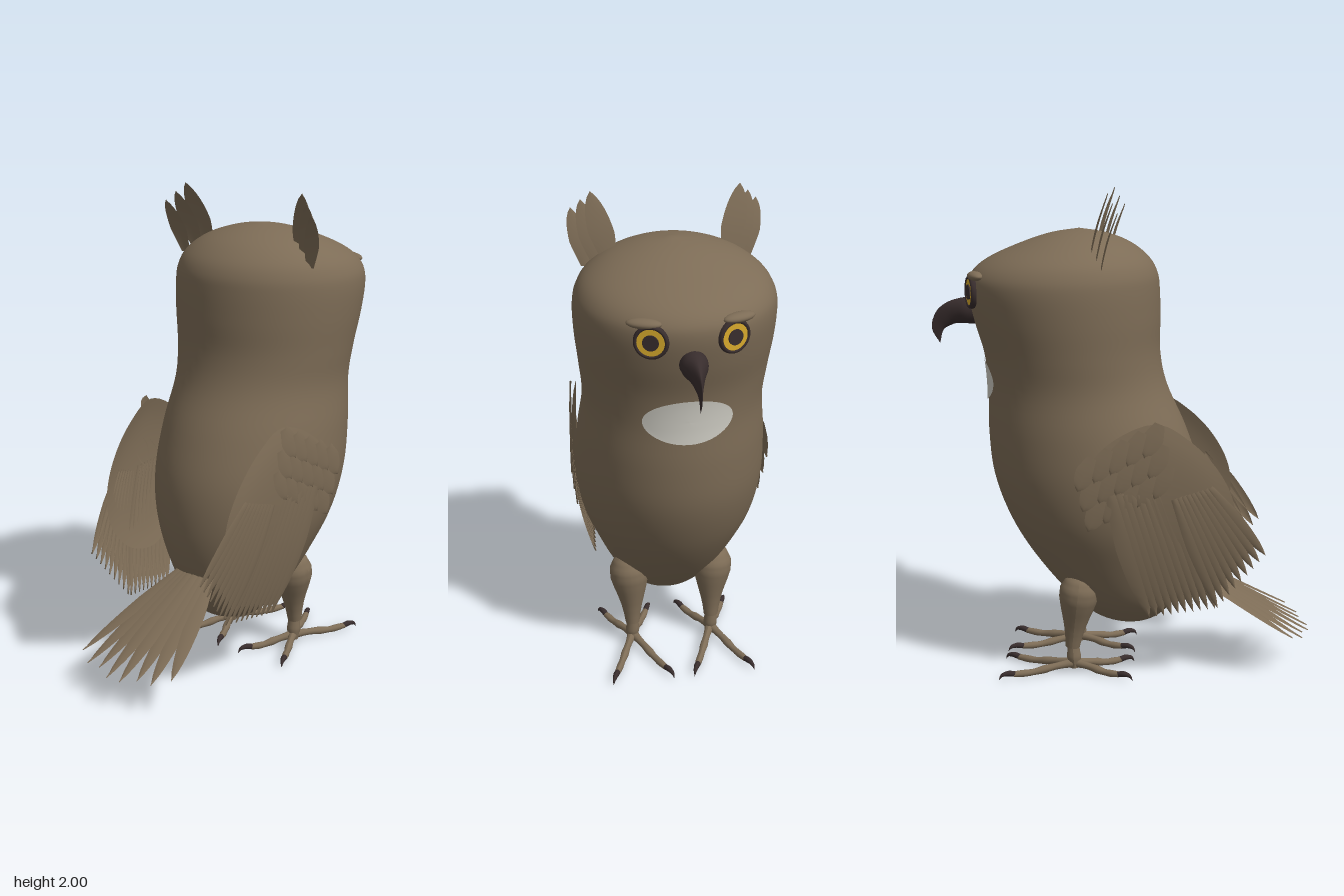
import * as THREE from 'three';
import { mergeVertices } from 'three/addons/utils/BufferGeometryUtils.js';

const V = (x, y, z = 0) => new THREE.Vector3(x, y, z);
const mat = (name, color, side = THREE.FrontSide) => {
  const m = new THREE.MeshStandardMaterial({ color, side });
  m.name = name;
  return m;
};

// Body rows: y, back x, front x, half width in z
const ROWS = [
  [0.178, -0.04, -0.04, 0], [0.198, -0.13, 0.07, 0.1], [0.24, -0.19, 0.155, 0.155], [0.33, -0.25, 0.25, 0.225],
  [0.49, -0.31, 0.38, 0.3], [0.65, -0.335, 0.475, 0.36], [0.83, -0.325, 0.54, 0.385], [1.02, -0.265, 0.56, 0.38],
  [1.2, -0.185, 0.56, 0.362], [1.34, -0.155, 0.575, 0.375], [1.48, -0.155, 0.615, 0.392], [1.6, -0.152, 0.638, 0.398],
  [1.67, -0.142, 0.622, 0.385], [1.73, -0.107, 0.55, 0.342], [1.788, -0.035, 0.42, 0.25], [1.828, 0.065, 0.3, 0.13],
  [1.848, 0.18, 0.18, 0],
];
const spanCurve = new THREE.CatmullRomCurve3(ROWS.map(r => V(r[1], r[0], r[2])), false, 'catmullrom');
const widthCurve = new THREE.CatmullRomCurve3(ROWS.map(r => V(r[3], r[0])), false, 'catmullrom');
function bodyRow(t) {
  const s = spanCurve.getPoint(t), w = widthCurve.getPoint(t);
  return { y: s.y, cx: (s.x + s.z) / 2, hx: Math.max(0, (s.z - s.x) / 2), hz: Math.max(0, w.x) };
}
// Front surface x of the body at a height and side position
function bodyFront(y, z) {
  let a = 0, b = 1;
  for (let i = 0; i < 30; i++) {
    const m = (a + b) / 2;
    if (spanCurve.getPoint(m).y < y) a = m; else b = m;
  }
  const r = bodyRow(a);
  return r.cx + r.hx * Math.sqrt(Math.max(0, 1 - (z / r.hz) ** 2));
}

// Moves every vertex of a geometry by a rule
function reshape(geo, rule) {
  const p = geo.attributes.position, uv = geo.attributes.uv;
  for (let i = 0; i < p.count; i++) {
    const q = rule(V(p.getX(i), p.getY(i), p.getZ(i)), uv.getX(i), uv.getY(i));
    p.setXYZ(i, q.x, q.y, q.z);
  }
  geo.computeVertexNormals();
  return geo;
}

// Pointed feather blade with a raised midrib and an optional bow
function feather(base, tip, side, width, ridge, bow = 0) {
  const dir = tip.clone().sub(base);
  const normal = side.clone().cross(dir).normalize();
  return reshape(new THREE.PlaneGeometry(1, 1, 2, 12), v => {
    const t = v.y + 0.5, u = v.x * 2;
    const w = width / 2 * Math.pow(Math.max(0, 1 - t ** 4), 0.85) * (0.5 + 0.5 * Math.min(1, t * 2.5));
    return base.clone().addScaledVector(dir, t).addScaledVector(side, u * w)
      .addScaledVector(normal, ridge * (1 - Math.abs(u)) + bow * Math.sin(Math.PI * t));
  });
}

// Tube along a path whose radius follows a list of values
function taper(points, radii, segs = 16, sides = 12) {
  const curve = new THREE.CatmullRomCurve3(points);
  return reshape(new THREE.TubeGeometry(curve, segs, 1, sides), (v, u) => {
    const c = curve.getPointAt(u), f = u * (radii.length - 1), i = Math.min(radii.length - 2, Math.floor(f));
    return c.clone().add(v.sub(c).multiplyScalar(THREE.MathUtils.lerp(radii[i], radii[i + 1], f - i)));
  });
}

// Depth of the gently curved wing surface
function wingZ(x, y) {
  const t = (y - 0.28) / 0.67;
  return 0.389 + 0.11 * (x - 0.18) + 0.14 * (y - 0.9) + 0.1 * t * (1 - t);
}

export function createModel() {
  const owl = new THREE.Group();
  owl.name = 'owl';
  const plumage = mat('brownPlumage', 0x7d6c56);
  const blade = mat('brownFeather', 0x7d6c56, THREE.DoubleSide);
  const horn = mat('darkHorn', 0x382d2d);
  const pale = mat('paleThroat', 0xcfcdc4);
  const yellow = mat('yellowIris', 0xd8aa2c);
  const add = (parent, name, geo, m) => {
    const mesh = new THREE.Mesh(geo, m);
    mesh.name = name;
    parent.add(mesh);
    return mesh;
  };
  const group = (parent, name) => {
    const g = new THREE.Group();
    g.name = name;
    parent.add(g);
    return g;
  };

  // Body and head in one smooth skin
  let skin = reshape(new THREE.SphereGeometry(1, 56, 80), (v, u, t) => {
    const r = bodyRow(t), a = u * Math.PI * 2;
    return V(r.cx - r.hx * Math.cos(a), r.y, r.hz * Math.sin(a));
  });
  skin.deleteAttribute('uv');
  skin.deleteAttribute('normal');
  skin = mergeVertices(skin, 1e-5);
  skin.computeVertexNormals();
  add(owl, 'body', skin, plumage);

  // Throat patch following the chest
  add(owl, 'throatPatch', reshape(new THREE.RingGeometry(0, 1, 48, 8), v => {
    const y = 1.235 + 0.095 * v.y, z = -0.177 * v.x;
    return V(bodyFront(y, z) + 0.005, y, z);
  }), pale);

  // Hooked beak, narrowing to a point when seen from above
  add(owl, 'beak', reshape(taper(
    [V(0.58, 1.505), V(0.66, 1.507), V(0.725, 1.49), V(0.768, 1.44), V(0.762, 1.37)],
    [0.056, 0.056, 0.05, 0.042, 0.024, 0], 24, 20),
  v => V(v.x, v.y, v.z * Math.min(0.95, Math.max(0.08, (0.8 - v.x) / 0.15)))), horn);

  // Tail fan
  const tail = group(owl, 'tail');
  const tailX = [-0.79, -0.76, -0.755, -0.71];
  for (let i = 0; i < 8; i++) {
    const s = i - 3.5, k = Math.abs(s) - 0.5, lift = 0.004 * (3 - k);
    const base = V(-0.24, 0.45 + lift, s * 0.02);
    const tip = V(tailX[k], 0.45 + (tailX[k] + 0.24) * 0.575 + lift, s * 0.067);
    add(tail, 'tailFeather', feather(base, tip, V(-s * 0.08, 0, -1).normalize(), 0.075, 0.005), blade);
  }

  // Paired parts: built for +z, mirrored for -z
  for (const sign of [1, -1]) {
    const half = group(owl, sign > 0 ? 'rightHalf' : 'leftHalf');
    half.scale.z = sign;

    // Eye: dark raised rim, sunken yellow iris, dark pupil
    const eye = group(half, 'eye');
    eye.position.set(0.606, 1.6, 0.155);
    eye.rotation.y = Math.PI / 2 - 0.36;
    const disc = (name, r, front, m) => {
      const d = add(eye, name, new THREE.CylinderGeometry(r, r, 0.03, 32), m);
      d.rotation.x = Math.PI / 2;
      d.position.z = front - 0.015;
    };
    const rim = add(eye, 'eyeRim', new THREE.TorusGeometry(0.059, 0.009, 10, 36), horn);
    rim.scale.z = 1.6;
    disc('iris', 0.056, 0.01, yellow);
    disc('pupil', 0.031, 0.015, horn);

    const brow = add(half, 'brow', new THREE.SphereGeometry(1, 24, 14), plumage);
    brow.scale.set(0.068, 0.019, 0.03);
    brow.position.set(0.586, 1.666, 0.178);
    brow.rotation.y = Math.PI / 2 - 0.36;

    // Ear tuft
    const tuft = group(half, 'earTuft');
    for (let i = 0; i < 3; i++) {
      add(tuft, 'tuftFeather', feather(
        V(0.122 - 0.025 * i, 1.735 - 0.015 * i, 0.235 + 0.042 * i),
        V(0.045 - 0.02 * i, 2.0 - 0.037 * i, 0.295 + 0.037 * i),
        V(0.12, 0, -1).normalize(), 0.105 - 0.012 * i, 0.003, 0.008), blade);
    }

    // Wing
    const wing = group(half, 'wing');
    const onWing = (geo, layer) => reshape(geo, v => V(v.x, v.y, v.z + wingZ(v.x, v.y) + layer));
    const quill = (name, a, b, width, layer) => {
      const d = b.clone().sub(a).normalize();
      add(wing, name, onWing(feather(a, b, V(d.y, -d.x), width, 0.006), layer), blade);
    };
    const outline = new THREE.CatmullRomCurve3([
      V(0.13, 0.86), V(0.08, 0.99), V(-0.14, 1.1), V(-0.28, 1.03), V(-0.4, 0.9), V(-0.46, 0.76),
      V(-0.45, 0.62), V(-0.34, 0.5), V(-0.15, 0.47), V(0.0, 0.6),
    ], true);
    add(wing, 'wingShell', onWing(reshape(new THREE.RingGeometry(0, 1, 60, 8), v => {
      const r = Math.hypot(v.x, v.y), a = (Math.atan2(v.y, v.x) / (Math.PI * 2) + 1) % 1;
      const p = V(-0.18, 0.78).lerp(outline.getPoint(a), r);
      p.z = 0.016 * (1 - r ** 4);
      return p;
    }), -0.006), blade);
    for (let i = 0; i < 9; i++) {
      const f = i / 8;
      quill('secondaryFeather', V(-0.36, 0.84).lerp(V(-0.22, 0.8), f),
        V(-0.59, 0.55).lerp(V(-0.4, 0.315), f), 0.058, 0.003 + 0.001 * i);
    }
    for (let i = 0; i < 10; i++) {
      const f = i / 9;
      quill('primaryFeather', V(-0.21, 0.82).lerp(V(0.03, 0.82), f),
        V(-0.39, 0.31).lerp(V(-0.12, 0.28), f), 0.058 + 0.04 * f * f, 0.003 + 0.001 * i);
    }
    for (let j = 2; j >= 0; j--) {
      for (let i = 0; i < 5; i++) {
        const a = V(-0.16 + 0.066 * i - 0.02 * j, 1.105 - 0.033 * i - 0.085 * j);
        quill('covertFeather', a, a.clone().add(V(0.06, -0.135)), 0.085, 0.015 - 0.003 * j);
      }
    }

    // Feathered thigh and shank
    add(half, 'thigh', taper(
      [V(0.165, 0.455, 0.185), V(0.175, 0.36, 0.182), V(0.19, 0.24, 0.175), V(0.205, 0.11, 0.172)],
      [0, 0.06, 0.081, 0.081, 0.07, 0.057, 0.045, 0.036, 0.03], 24, 20), plumage);
    add(half, 'shank', taper([V(0.203, 0.16, 0.172), V(0.2, 0.08, 0.172), V(0.195, 0.02, 0.172)],
      [0.027, 0.024, 0.03, 0.022]), plumage);

    // Foot with two toes forward and two back
    for (const [dx, dz] of [[0.25, 0.105], [0.25, -0.105], [-0.19, 0.09], [-0.19, -0.09]]) {
      const at = (k, y) => V(0.195 + dx * k, y, 0.172 + dz * k);
      const s = 0.05 / Math.hypot(dx, dz);
      add(half, 'toe', taper([at(0, 0.04), at(0.35, 0.032), at(0.7, 0.02), at(1, 0.022)],
        [0.022, 0.016, 0.014, 0.017, 0.013, 0.015, 0.012]), plumage);
      add(half, 'claw', taper([at(0.97, 0.022), at(1 + 0.5 * s, 0.028), at(1 + s, 0.022), at(1 + 1.25 * s, 0.004)],
        [0.012, 0.012, 0.008, 0]), horn);
    }
  }
  return owl;
}
